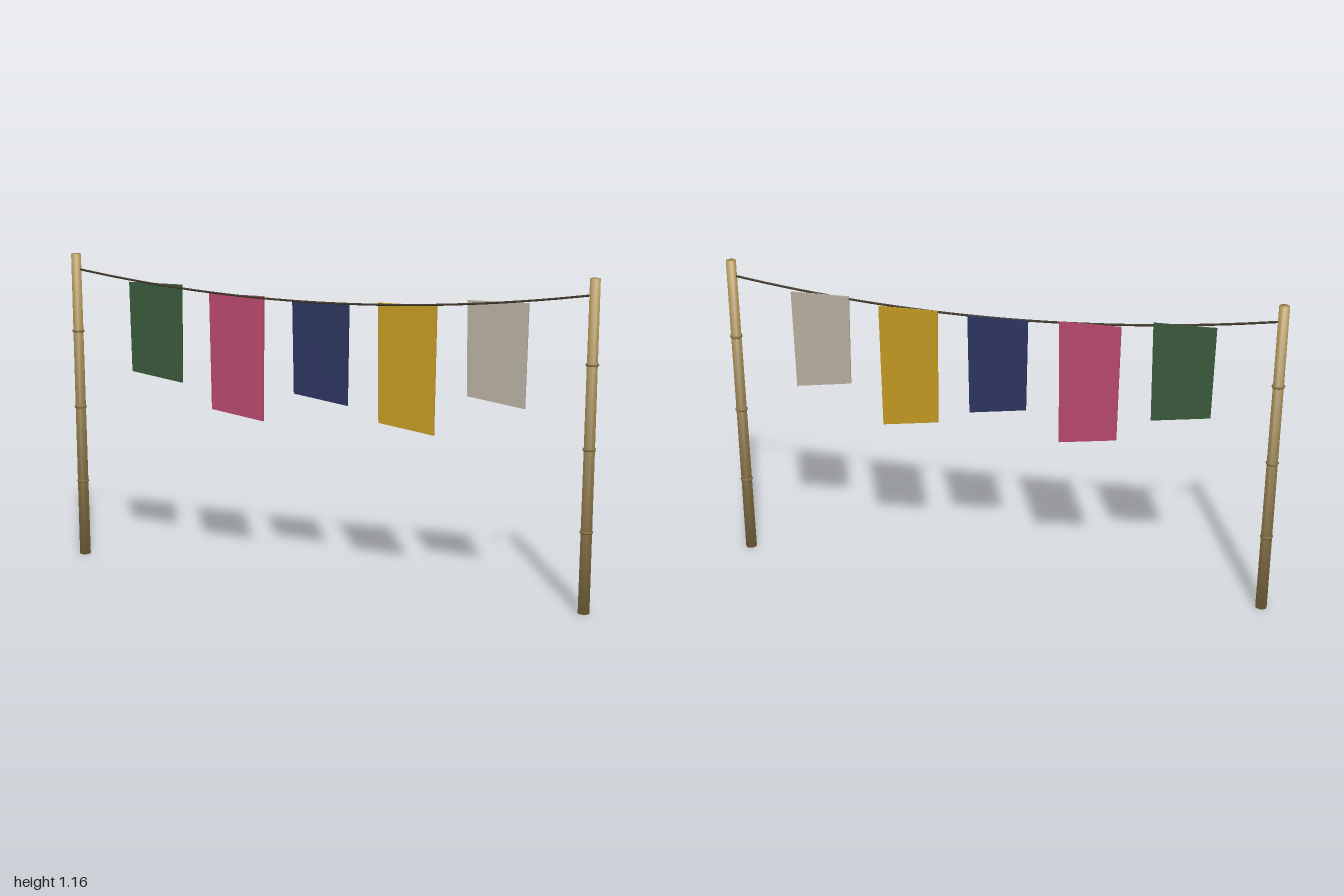
import * as THREE from 'three';

const mat = (name, color, extra = {}) => new THREE.MeshStandardMaterial({ name, color, ...extra });
const HEIGHT = 1.16, POST_X = 0.977;
const ropeY = x => 1.028 + 0.074 * (x / 0.96) ** 2;

// Bamboo pole whose end normals lean outward for softly rounded ends
function poleGeometry() {
  const g = new THREE.CylinderGeometry(0.018, 0.0205, HEIGHT, 12);
  const p = g.attributes.position, n = g.attributes.normal;
  const v = new THREE.Vector3();
  for (let i = 0; i < p.count; i++) {
    v.set(p.getX(i), 0, p.getZ(i)).normalize();
    v.y = Math.sign(p.getY(i)) * 0.8;
    v.normalize();
    n.setXYZ(i, v.x, v.y, v.z);
  }
  return g.translate(0, HEIGHT / 2, 0);
}

export function createModel() {
  const model = new THREE.Group();
  model.name = 'flagLine';
  const add = (parent, name, geometry, material) => {
    const m = new THREE.Mesh(geometry, material);
    m.name = name;
    parent.add(m);
    return m;
  };
  const bamboo = mat('bamboo', 0xb0965c);
  const node = mat('bambooNode', 0x8a7445);
  const cord = mat('cord', 0x40382a);

  // Posts with three joint rings each
  const pole = poleGeometry();
  const ring = new THREE.TorusGeometry(0.0185, 0.005, 6, 14).rotateX(Math.PI / 2);
  for (const side of [-1, 1]) {
    const post = new THREE.Group();
    post.name = side < 0 ? 'rightPost' : 'leftPost';
    post.position.x = side * POST_X;
    add(post, 'pole', pole, bamboo);
    for (let i = 1; i <= 3; i++) add(post, 'jointRing', ring, node).position.y = i * HEIGHT / 4;
    model.add(post);
  }

  // Sagging rope between the posts
  const points = [];
  for (let i = 0; i <= 16; i++) {
    const x = -0.965 + 1.93 * i / 16;
    points.push(new THREE.Vector3(x, ropeY(x), 0));
  }
  add(model, 'rope', new THREE.TubeGeometry(new THREE.CatmullRomCurve3(points), 32, 0.004, 6), cord);

  // Cloth flags with slanted lower edges: [name, colour, x, top, lower left corner]
  const flags = [
    ['green', 0x3a5a3b, -0.652, 1.064, 0.73],
    ['pink', 0xb84a6e, -0.327, 1.038, 0.61],
    ['navy', 0x2c3560, -0.001, 1.03, 0.692],
    ['gold', 0xc59a22, 0.322, 1.038, 0.61],
    ['pale', 0xb8b0a1, 0.646, 1.064, 0.73],
  ];
  for (const [name, color, x, top, low] of flags) {
    const shape = new THREE.Shape([
      new THREE.Vector2(-0.108, top),
      new THREE.Vector2(-0.103, low),
      new THREE.Vector2(0.103, low - 0.03),
      new THREE.Vector2(0.108, top),
    ]);
    const cloth = new THREE.ExtrudeGeometry(shape, { depth: 0.006, bevelEnabled: false });
    add(model, name + 'Flag', cloth, mat(name + 'Cloth', color)).position.set(x, 0, -0.011);
  }
  return model;
}
